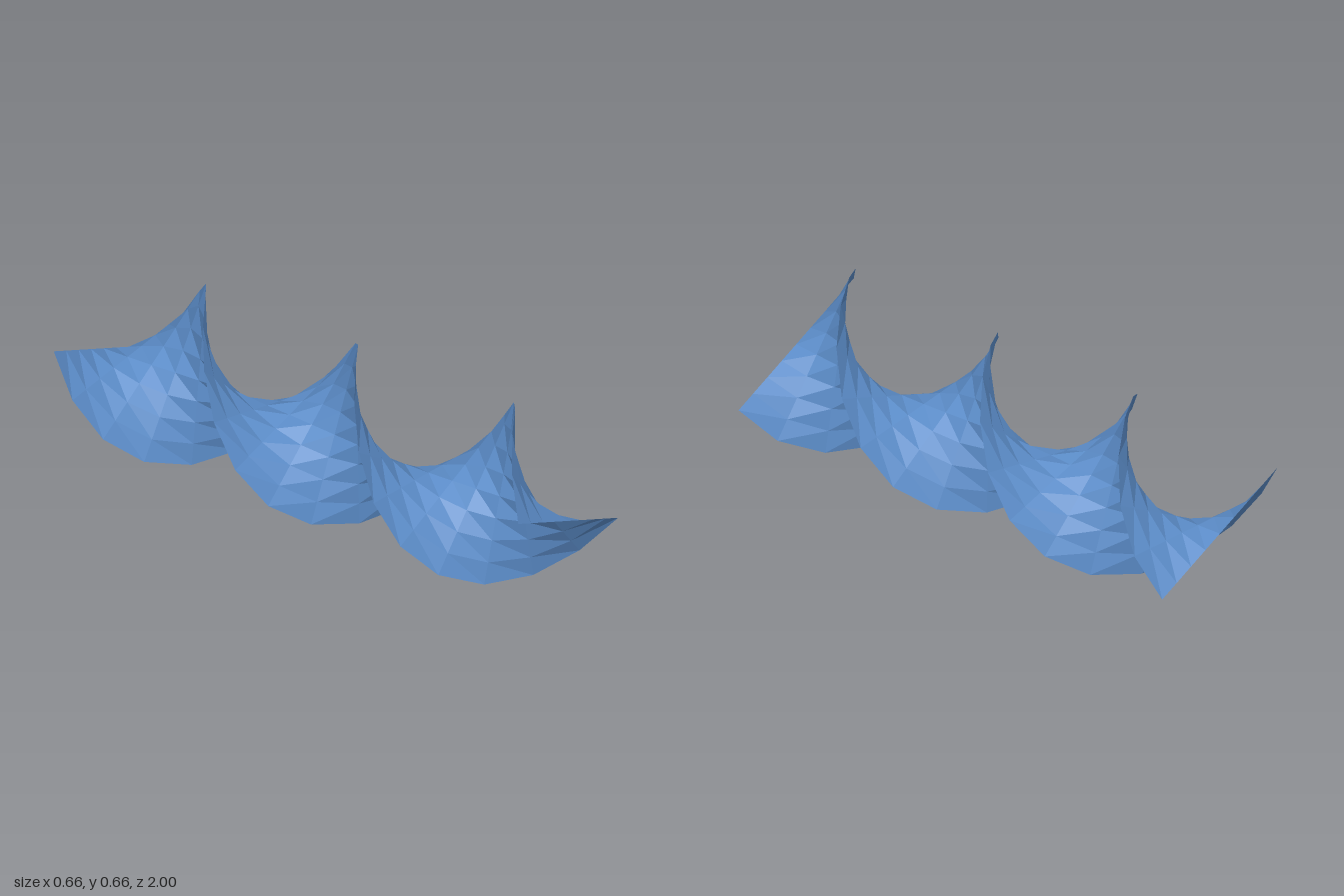
import * as THREE from 'three';

const RADIUS = 0.332;
const LENGTH = 2;
const CENTRE_Y = 0.334;
const OFFSET = 0.0095; // the ribbon runs just beside its twist axis
const TWIST_PER_UNIT = THREE.MathUtils.degToRad(270);
const FRONT_ANGLE = THREE.MathUtils.degToRad(-25.2);

export function createModel() {
  const group = new THREE.Group();
  group.name = 'twistedRibbon';

  // Flat strip, turned one and a half times around the z axis
  const geometry = new THREE.PlaneGeometry(RADIUS * 2, LENGTH, 8, 20);
  const pos = geometry.attributes.position;
  for (let i = 0; i < pos.count; i++) {
    const r = pos.getX(i);
    const z = pos.getY(i);
    const a = FRONT_ANGLE - TWIST_PER_UNIT * (LENGTH / 2 - z);
    pos.setXYZ(
      i,
      r * Math.cos(a) - OFFSET * Math.sin(a),
      CENTRE_Y + r * Math.sin(a) + OFFSET * Math.cos(a),
      z
    );
  }
  geometry.computeVertexNormals();

  const ribbon = new THREE.Mesh(
    geometry,
    new THREE.MeshStandardMaterial({ color: 0x5b8cc8, flatShading: true, side: THREE.DoubleSide })
  );
  ribbon.name = 'ribbon';
  group.add(ribbon);
  return group;
}
